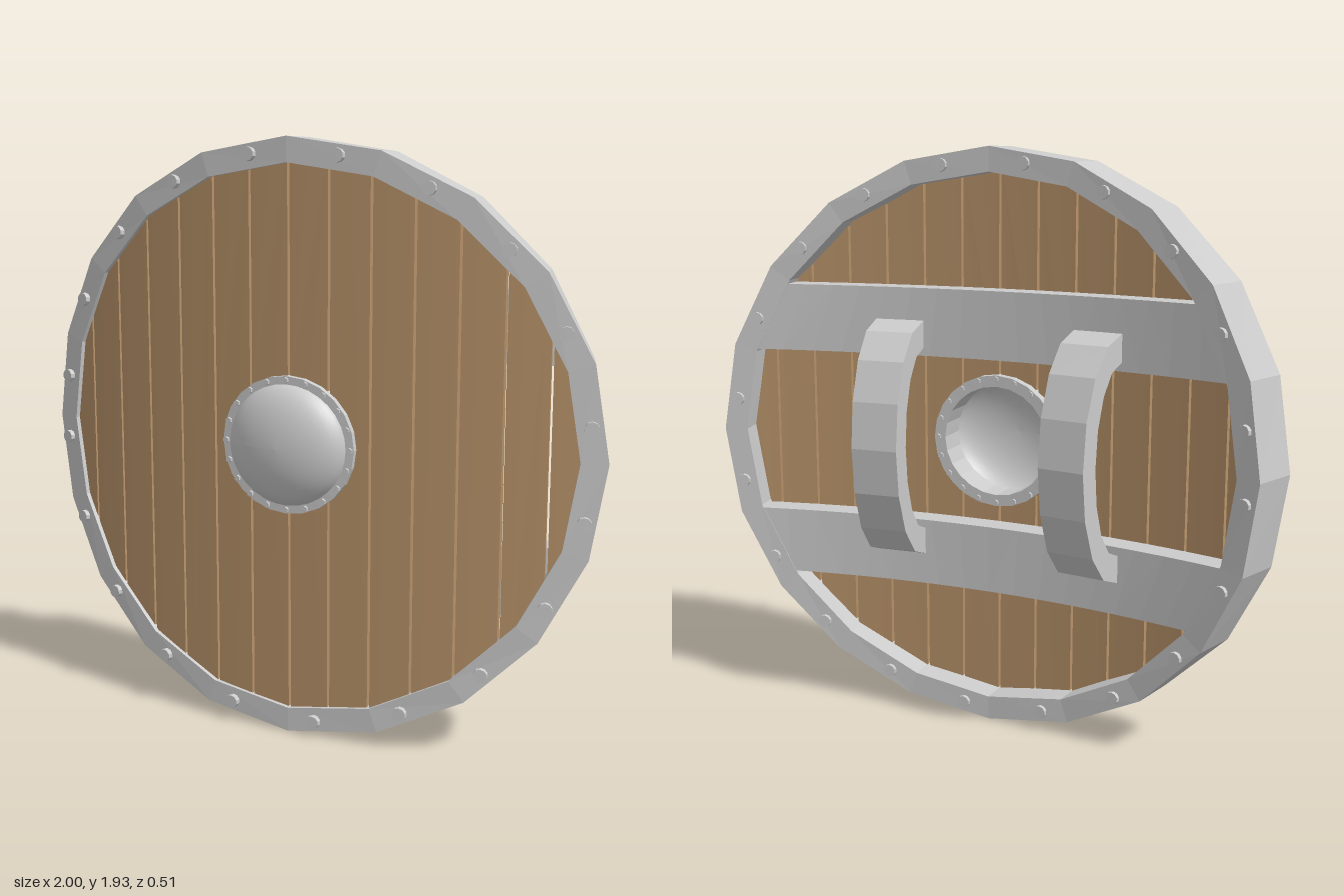
import * as THREE from 'three';

const CY = 0.965;      // height of the shield's centre
const BEND = 3.135;    // bend radius of the back face
const STEEL = new THREE.MeshStandardMaterial({ color: 0xcccccc, flatShading: true });
const SMOOTH = new THREE.MeshStandardMaterial({ color: 0xcccccc, side: THREE.DoubleSide });
const WOOD = new THREE.MeshStandardMaterial({ color: 0xb8936a, flatShading: true });

// Parts are made flat (x across, y up from the centre, z = 0 at the back), then curved about a vertical axis
function bend(geo) {
  const p = geo.attributes.position;
  for (let i = 0; i < p.count; i++) {
    const a = p.getX(i) / BEND, r = BEND + p.getZ(i);
    p.setXYZ(i, r * Math.sin(a), p.getY(i) + CY, r * Math.cos(a) - BEND);
  }
  geo.computeVertexNormals();
  return geo;
}

function add(parent, name, geo, mat) {
  const mesh = new THREE.Mesh(bend(geo), mat);
  mesh.name = name;
  parent.add(mesh);
}

function subgroup(parent, name) {
  const g = new THREE.Group();
  g.name = name;
  parent.add(g);
  return g;
}

// Ring of rectangular section, facing forwards
function ring(rIn, rOut, z0, z1, sides) {
  const pts = [[rIn, z0], [rOut, z0], [rOut, z1], [rIn, z1], [rIn, z0]];
  return new THREE.LatheGeometry(pts.map(p => new THREE.Vector2(...p)), sides).rotateX(Math.PI / 2);
}

// Studs that pass through a ring and show on both faces
function studs(parent, name, count, start, step, dist, radius, z0, z1, sides) {
  for (let i = 0; i < count; i++) {
    const a = start + i * step;
    const geo = new THREE.CylinderGeometry(radius, radius, z1 - z0, sides).rotateX(Math.PI / 2);
    geo.translate(dist * Math.sin(a), dist * Math.cos(a), (z0 + z1) / 2);
    add(parent, name, geo, STEEL);
  }
}

function extrude(pts, depth) {
  const shape = new THREE.Shape(pts.map(p => new THREE.Vector2(...p)));
  return new THREE.ExtrudeGeometry(shape, { depth, bevelEnabled: false });
}

export function createModel() {
  const shield = new THREE.Group();
  shield.name = 'roundShield';

  // Rim and its studs
  add(shield, 'rim', ring(0.885, 0.965, 0, 0.165, 20), STEEL);
  const deg = Math.PI / 180;
  studs(subgroup(shield, 'rimStuds'), 'rimStud', 20, 279.3 * deg, 18.22 * deg, 0.92, 0.022, -0.016, 0.181, 10);

  // Planks, cut to the rim and around the opening behind the boss
  const planks = subgroup(shield, 'planks');
  const HOLE = 0.2, EDGE = 0.91, PITCH = 0.133, GAP = 0.004;
  const arc = (r, u) => Math.sqrt(Math.max(0, r * r - u * u));
  for (let i = -7; i < 7; i++) {
    const u0 = Math.max(i * PITCH + GAP, -0.905), u1 = Math.min((i + 1) * PITCH - GAP, 0.905);
    const us = Array.from({ length: 9 }, (_, k) => u0 + (u1 - u0) * k / 8);
    const top = us.map(u => [u, arc(EDGE, u)]).reverse();
    const nearHole = Math.min(Math.abs(u0), Math.abs(u1)) < HOLE;
    if (nearHole) {
      const cut = us.map(u => [u, arc(HOLE, u)]);
      const upper = [...cut, ...top];
      const lower = upper.map(([x, y]) => [x, -y]).reverse();
      for (const half of [upper, lower]) add(planks, 'plank', extrude(half, 0.06).translate(0, 0, 0.09), WOOD);
    } else {
      const bottom = us.map(u => [u, -arc(EDGE, u)]);
      add(planks, 'plank', extrude([...bottom, ...top], 0.06).translate(0, 0, 0.09), WOOD);
    }
  }

  // Two cross bands on the back, ends slanted to tuck into the rim
  for (const s of [1, -1]) {
    const geo = new THREE.BoxGeometry(2, 0.225, 0.09, 16, 1, 1).translate(0, s * 0.395, 0.047);
    const p = geo.attributes.position;
    for (let i = 0; i < p.count; i++) p.setX(i, p.getX(i) * arc(0.9, p.getY(i)));
    add(shield, s > 0 ? 'upperBand' : 'lowerBand', geo, STEEL);
  }

  // Two arched grips spanning the bands
  const N = 8, WIDTH = 0.17;
  const arch = (ry, rz, t) => [-rz * Math.sin(t), ry * Math.cos(t)];
  const profile = [[0.02, 0.4]];
  for (let k = 0; k <= N; k++) profile.push(arch(0.4, 0.225, Math.PI * k / N));
  profile.push([0.02, -0.4], [0.02, -0.31]);
  for (let k = N; k >= 0; k--) profile.push(arch(0.31, 0.15, Math.PI * k / N));
  profile.push([0.02, 0.31]);
  for (const [name, u] of [['leftGrip', 0.32], ['rightGrip', -0.39]]) {
    // profile x is depth, so turn it to face along z
    const geo = extrude(profile, WIDTH).rotateY(-Math.PI / 2).translate(u + WIDTH / 2, 0, 0);
    add(shield, name, geo, STEEL);
  }

  // Boss: flange with small studs and a hollow dome
  const boss = subgroup(shield, 'boss');
  add(boss, 'flange', ring(0.185, 0.223, 0.06, 0.172, 24), STEEL);
  studs(boss, 'flangeStud', 20, 0, 18 * deg, 0.21, 0.01, 0.052, 0.181, 6);
  const dome = new THREE.SphereGeometry(0.2, 32, 10, 0, Math.PI * 2, 0, Math.PI / 2);
  dome.scale(1, 0.095 / 0.2, 1).rotateX(Math.PI / 2).translate(0, 0, 0.155);
  add(boss, 'dome', dome, SMOOTH);

  return shield;
}
